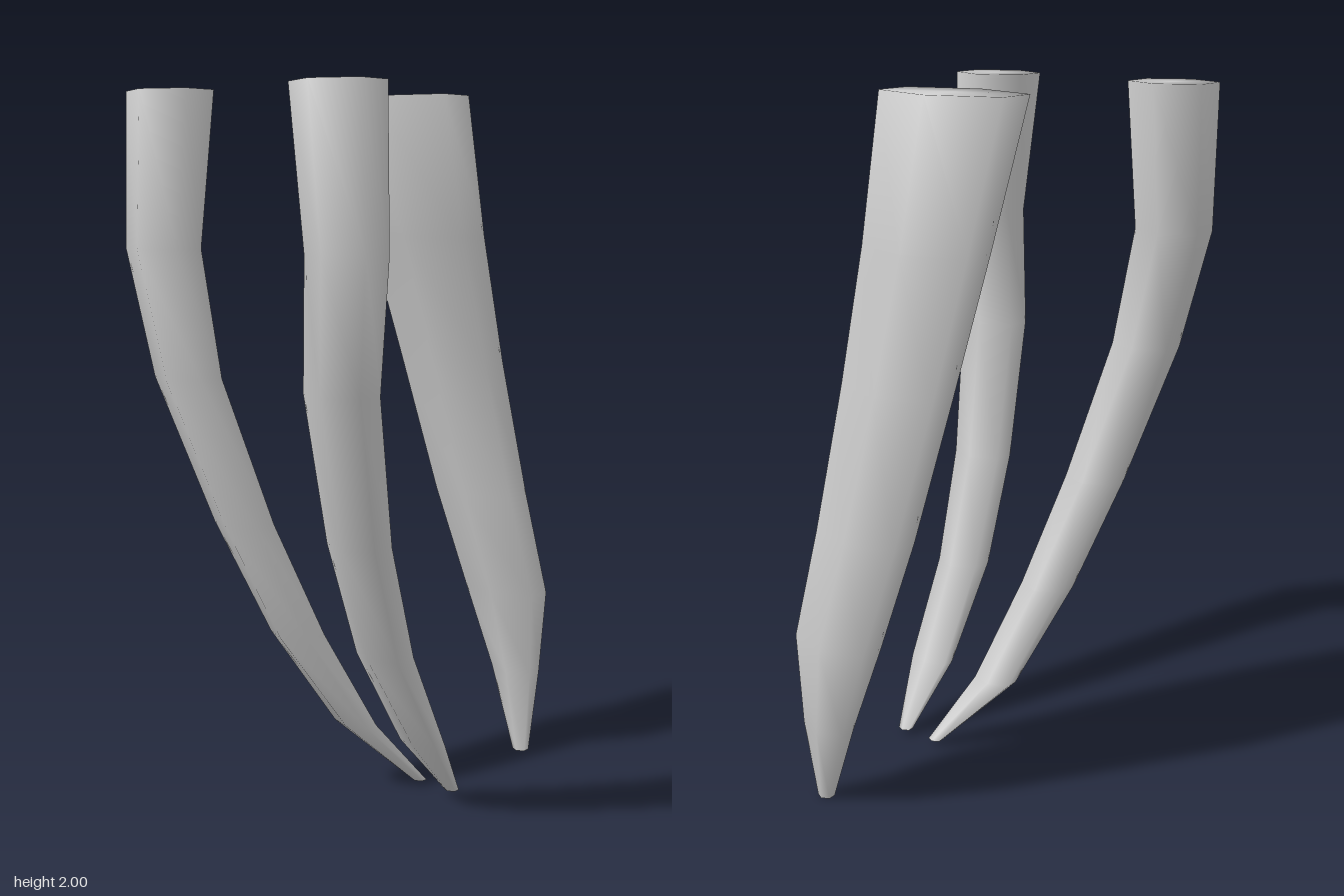
import * as THREE from 'three';

const SIDES = 6;
// Hexagon corners, in units of the half width and half depth.
const HEX = [[1, 0], [0.48, 1], [-0.48, 1], [-1, 0], [-0.48, -1], [0.48, -1]];

// Lofts hexagonal rings, listed from top to tip as [y, xMin, xMax, zMin, zMax].
function rootGeometry(rings) {
  const positions = [], index = [];
  const centre = ([y, x0, x1, z0, z1]) => [(x0 + x1) / 2, y, (z0 + z1) / 2];
  for (const ring of rings) {
    const [y, x0, x1, z0, z1] = ring;
    const [cx, , cz] = centre(ring);
    for (const [hx, hz] of HEX) {
      positions.push(cx + hx * (x1 - x0) / 2, y, cz + hz * (z1 - z0) / 2);
    }
  }
  // Side walls
  for (let r = 0; r < rings.length - 1; r++) {
    for (let i = 0; i < SIDES; i++) {
      const a = r * SIDES + i, b = r * SIDES + (i + 1) % SIDES;
      index.push(a, b, a + SIDES, b, b + SIDES, a + SIDES);
    }
  }
  // End caps, sharing the ring vertices so the shading rolls over the rim
  const last = (rings.length - 1) * SIDES, top = rings.length * SIDES, tip = top + 1;
  positions.push(...centre(rings[0]), ...centre(rings[rings.length - 1]));
  for (let i = 0; i < SIDES; i++) {
    const j = (i + 1) % SIDES;
    index.push(top, j, i, tip, last + i, last + j);
  }
  const geometry = new THREE.BufferGeometry();
  geometry.setAttribute('position', new THREE.Float32BufferAttribute(positions, 3));
  geometry.setIndex(index);
  geometry.computeVertexNormals();
  return geometry;
}

// The two slender roots share heights and x ranges, and differ only in z.
const SLENDER = [
  [2, -0.55, -0.335], [1.58, -0.575, -0.39], [1.23, -0.545, -0.385], [0.82, -0.43, -0.285],
  [0.49, -0.305, -0.163], [0.2, -0.125, -0.04], [0.015, 0.04, 0.08],
];
const FRONT_Z = [[0.16, 0.395], [0.24, 0.44], [0.212, 0.402], [0.19, 0.355],
  [0.185, 0.33], [0.205, 0.334], [0.245, 0.285]];
const BACK_Z = [[-0.445, -0.21], [-0.425, -0.22], [-0.345, -0.16], [-0.235, -0.07],
  [-0.14, 0.005], [-0.042, 0.082], [0.125, 0.165]];
const BROAD = [
  [2, 0.08, 0.32, -0.25, 0.153], [1.6, 0.17, 0.38, -0.188, 0.165],
  [1.23, 0.275, 0.46, -0.14, 0.175], [0.82, 0.345, 0.522, -0.055, 0.225],
  [0.51, 0.41, 0.57, 0.02, 0.27], [0.25, 0.462, 0.565, 0.098, 0.242],
  [0, 0.465, 0.512, 0.19, 0.234],
];

export function createModel() {
  const group = new THREE.Group();
  group.name = 'roots';
  const material = new THREE.MeshStandardMaterial({ color: 0xcccccc });
  const slender = (zs) => SLENDER.map((row, i) => [...row, ...zs[i]]);
  const parts = {
    frontSlenderRoot: slender(FRONT_Z),
    backSlenderRoot: slender(BACK_Z),
    broadRoot: BROAD,
  };
  for (const [name, rings] of Object.entries(parts)) {
    const mesh = new THREE.Mesh(rootGeometry(rings), material);
    mesh.name = name;
    group.add(mesh);
  }
  return group;
}
